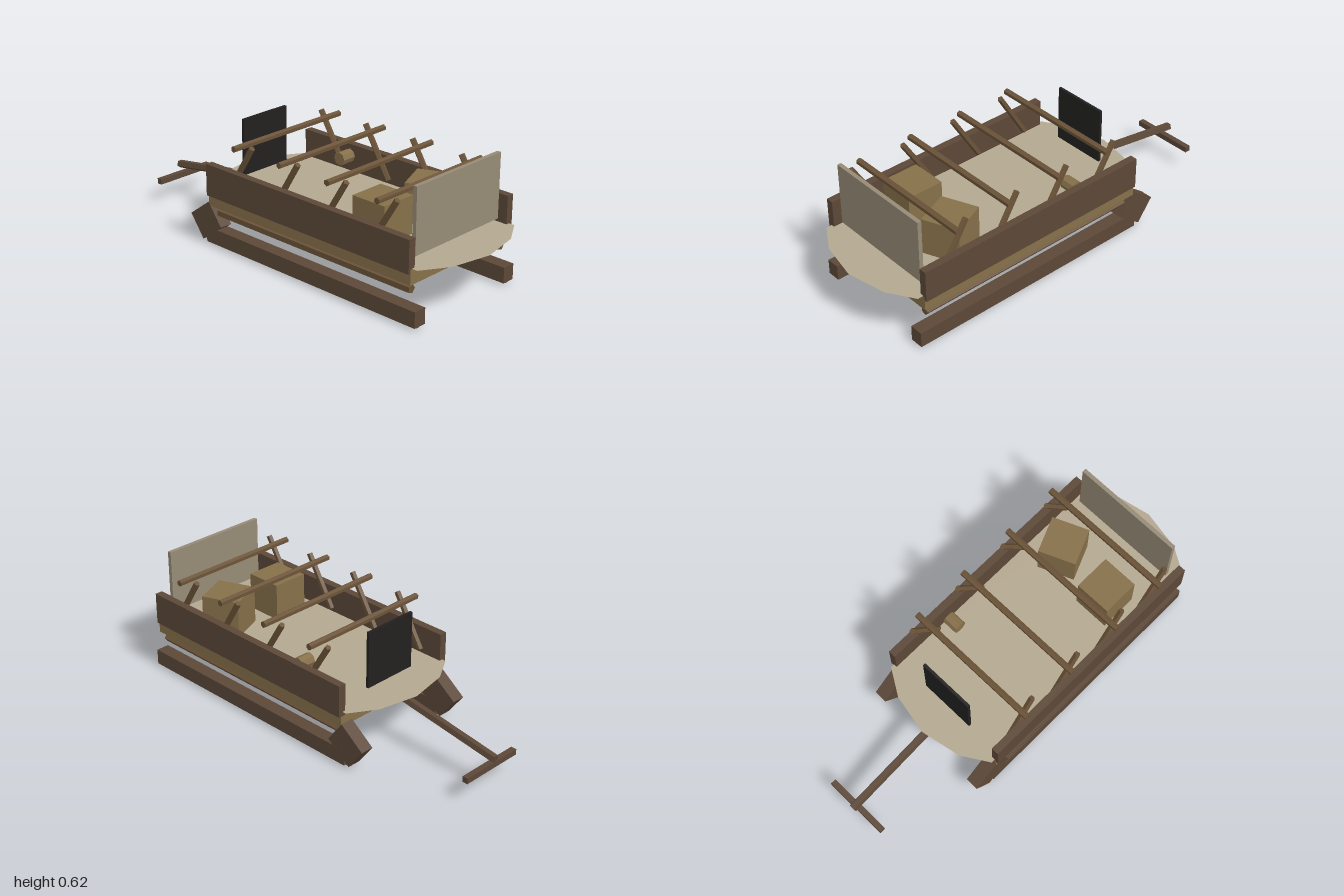
import * as THREE from 'three';

const mat = (color, side = THREE.FrontSide) =>
  new THREE.MeshStandardMaterial({ color, flatShading: true, side });

const darkWood = mat(0x5c4838);
const lightWood = mat(0x86704a);
const poleWood = mat(0x6b5338);
const iron = mat(0x55565a);
const black = mat(0x222120);
const boardGrey = mat(0x968b76);
const canvas = mat(0xb3a78f, THREE.DoubleSide);

export function createModel() {
  const sledge = new THREE.Group();
  sledge.name = 'sledge';

  const add = (name, geometry, material, x, y, z) => {
    const mesh = new THREE.Mesh(geometry, material);
    mesh.name = name;
    mesh.position.set(x, y, z);
    sledge.add(mesh);
    return mesh;
  };
  const box = (name, material, w, h, d, x, y, z) =>
    add(name, new THREE.BoxGeometry(w, h, d), material, x, y, z);
  // Faceted rod along y, turned to lie along x or z where needed
  const rod = (r, length, sides = 5) => new THREE.CylinderGeometry(r, r, length, sides);

  // Bed with a flat sheet that overhangs both ends
  box('bed', lightWood, 1.25, 0.073, 0.676, 0.225, 0.2415, 0);
  const half = [[0.65, 0.33], [0.73, 0.2], [0.77, 0], [0.73, -0.2], [0.65, -0.33]];
  const outline = [...half, ...half.map(([x, z]) => [-x, -z])];
  const sheet = new THREE.ShapeGeometry(
    new THREE.Shape(outline.map(([x, z]) => new THREE.Vector2(x, z))));
  sheet.rotateX(-Math.PI / 2);
  add('bedSheet', sheet, canvas, 0.23, 0.281, 0);

  // Runners, upturned tips, iron shoes, rails and side boards
  for (const s of [1, -1]) {
    const side = s > 0 ? 'left' : 'right';
    box(side + 'Runner', darkWood, 1.3, 0.077, 0.067, 0.23, 0.0525, s * 0.305);
    box(side + 'RunnerTip', darkWood, 0.157, 0.137, 0.066, -0.425, 0.12, s * 0.305)
      .rotation.z = 0.64;
    const shoe = rod(0.015, 1.29).rotateY(Math.PI / 2).rotateZ(Math.PI / 2);
    add(side + 'RunnerShoe', shoe, iron, 0.225, 0.015, s * 0.306);
    const rail = rod(0.022, 1.19).rotateY(Math.PI).rotateZ(Math.PI / 2);
    add(side + 'Rail', rail, poleWood, 0.235, 0.172, s * 0.305);
    box(side + 'Board', darkWood, 1.25, 0.158, 0.038, 0.225, 0.338, s * 0.331);
  }

  // Upright end panels
  box('rearPanel', boardGrey, 0.02, 0.315, 0.56, 0.815, 0.47, 0);
  box('frontPanel', black, 0.014, 0.28, 0.28, -0.368, 0.451, 0);

  // Cross poles, each with a stake leaning rearward on one side and forward on the other
  for (const x of [-0.21, 0.082, 0.375, 0.665]) {
    add('crossPole', rod(0.016, 0.696, 6).rotateX(Math.PI / 2), poleWood, x, 0.537, 0);
    for (const s of [1, -1]) {
      add('stake', rod(0.015, 0.29), poleWood, x, 0.425, s * 0.303)
        .rotation.z = -s * 0.55;
    }
  }

  // Cargo
  box('crate', lightWood, 0.187, 0.184, 0.184, 0.522, 0.373, 0.149);
  box('turnedCrate', lightWood, 0.188, 0.184, 0.186, 0.547, 0.373, -0.147)
    .rotation.y = 0.4;
  add('keg', rod(0.033, 0.075, 8).rotateX(Math.PI / 2), lightWood, -0.078, 0.372, -0.25);

  // Drawbar and its cross handle
  const from = new THREE.Vector2(-0.998, 0.16), to = new THREE.Vector2(-0.36, 0.257);
  const span = to.clone().sub(from), mid = from.clone().add(to).multiplyScalar(0.5);
  const drawbar = rod(0.021, span.length(), 5).rotateY(Math.PI / 2).rotateZ(-Math.PI / 2);
  add('drawbar', drawbar, darkWood, mid.x, mid.y, 0).rotation.z = span.angle();
  box('drawHandle', darkWood, 0.028, 0.028, 0.328, -0.97, 0.116, 0);

  return sledge;
}
